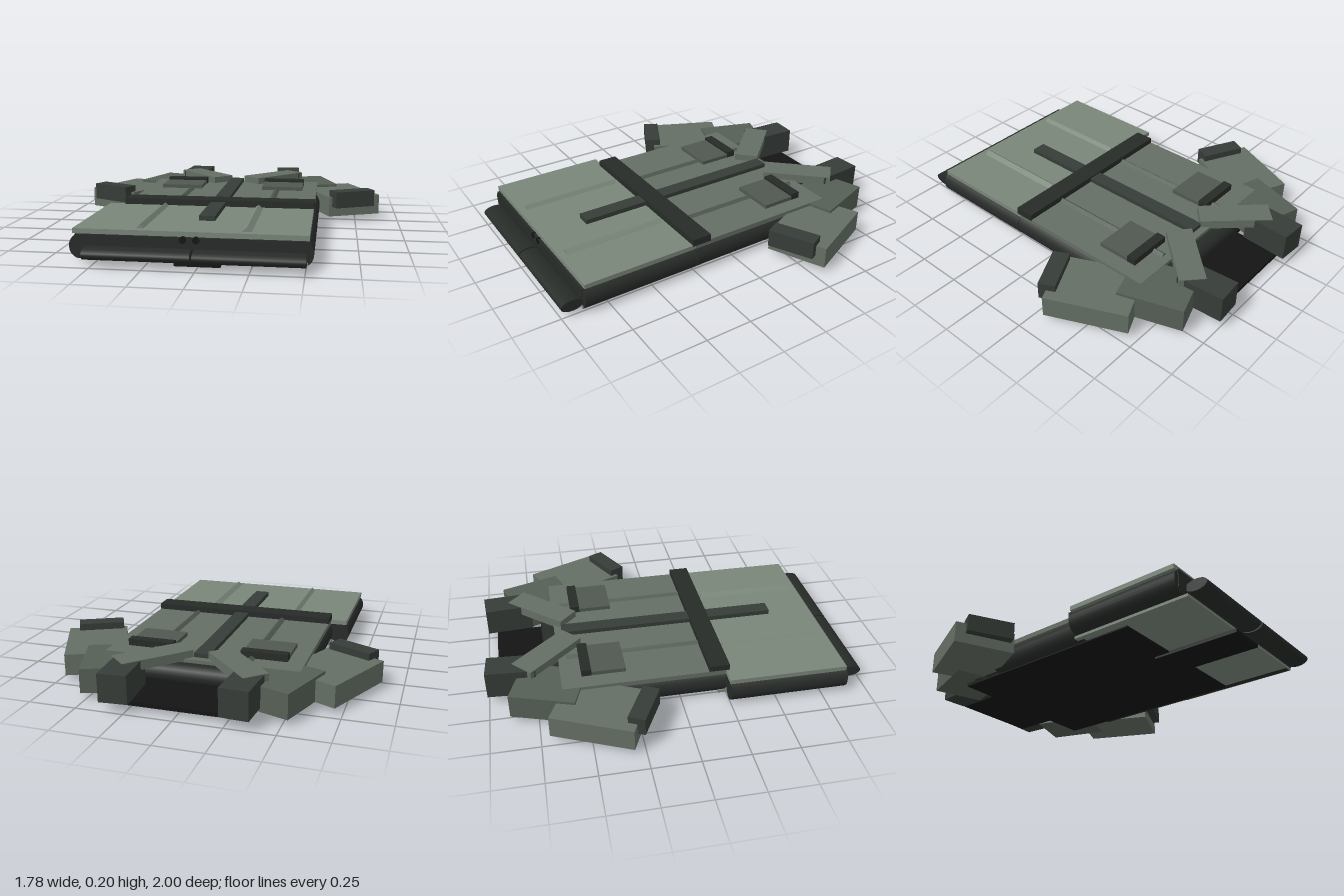
import * as THREE from 'three';

const mat = (color) => new THREE.MeshStandardMaterial({ color, roughness: 0.9 });
const M = {
  skirt: mat(0x7a867a), torso: mat(0x646e64), shoulder: mat(0x565f56), pocket: mat(0x505850),
  trim: mat(0x363c38), dark: mat(0x272b28), black: mat(0x131413),
};

export function createModel() {
  const group = new THREE.Group();
  const add = (name, geometry, material) => {
    const mesh = new THREE.Mesh(geometry, material);
    mesh.name = name;
    group.add(mesh);
    return mesh;
  };
  // Box given by its extents
  const box = (name, m, x0, x1, y0, y1, z0, z1) => {
    const b = add(name, new THREE.BoxGeometry(x1 - x0, y1 - y0, z1 - z0), m);
    b.position.set((x0 + x1) / 2, (y0 + y1) / 2, (z0 + z1) / 2);
    return b;
  };
  // Box given by centre, height range, footprint and turn about y
  const turned = (name, m, x, z, w, d, y0, y1, angle) => {
    const b = box(name, m, x - w / 2, x + w / 2, y0, y1, z - d / 2, z + d / 2);
    b.rotation.y = angle;
    return b;
  };
  // Rolled fabric edge with an elliptical section, along x or z
  const roll = (name, m, axis, from, to, across, y, ra, ry) => {
    const g = new THREE.CylinderGeometry(1, 1, to - from, 20);
    g.rotateX(Math.PI / 2);
    g.scale(ra, ry, 1);
    if (axis === 'x') g.rotateY(Math.PI / 2);
    const mid = (from + to) / 2;
    const r = add(name, g, m);
    r.position.set(axis === 'x' ? mid : across, y, axis === 'x' ? across : mid);
  };
  // Triangular crease ridge running along z
  const crease = (name, m, x0, x1, z0, z1, y, h) => {
    const s = new THREE.Shape();
    s.moveTo(x0, 0);
    s.lineTo(x1, 0);
    s.lineTo((x0 + x1) / 2, h);
    const r = add(name, new THREE.ExtrudeGeometry(s, { depth: z1 - z0, bevelEnabled: false }), m);
    r.position.set(0, y, z0);
  };

  // Torso: front panel, inner layers, back panel and neck lining
  box('torsoFront', M.torso, -0.525, 0.515, 0.135, 0.162, -0.62, 0.25);
  box('torsoInner', M.dark, -0.49, 0.49, 0.03, 0.135, -0.6, 0.24);
  box('backPanel', M.black, -0.48, 0.47, 0.012, 0.03, -0.67, 0.5);
  box('neckLining', M.black, -0.26, 0.25, 0.025, 0.045, -0.945, -0.6);
  roll('neckEdge', M.dark, 'x', -0.3, 0.3, -0.63, 0.09, 0.06, 0.055);
  for (const s of [-1, 1]) roll('torsoSideFold', M.dark, 'z', -0.4, 0.24, s * 0.485, 0.078, 0.052, 0.062);

  // Lower part: front panel, inner layers, folded edges and back
  box('lowerFront', M.skirt, -0.615, 0.515, 0.135, 0.16, 0.24, 0.875);
  box('lowerInner', M.dark, -0.57, 0.48, 0.035, 0.135, 0.25, 0.87);
  box('lowerBack', M.skirt, -0.53, 0.51, 0.02, 0.035, 0.2, 0.89);
  box('backPleat', M.black, -0.115, 0.105, 0, 0.02, 0.41, 0.905);
  roll('lowerSideFold', M.dark, 'z', 0.245, 0.885, -0.578, 0.075, 0.052, 0.06);
  roll('lowerSideFold', M.dark, 'z', 0.245, 0.885, 0.485, 0.075, 0.052, 0.06);
  box('hemFold', M.dark, -0.6, 0.51, 0.04, 0.135, 0.85, 0.888);
  for (const x of [-0.075, -0.012]) roll('plackeFold', M.black, 'z', 0.3, 0.892, x, 0.122, 0.017, 0.017);
  roll('hemRoll', M.dark, 'x', -0.535, -0.024, 0.94, 0.06, 0.06, 0.031);
  roll('hemRoll', M.dark, 'x', -0.014, 0.505, 0.94, 0.06, 0.06, 0.031);

  // Creases pressed into both panels
  crease('torsoCrease', M.pocket, -0.268, -0.23, -0.575, 0.15, 0.162, 0.014);
  crease('torsoCrease', M.pocket, 0.255, 0.292, -0.575, 0.15, 0.162, 0.014);
  crease('lowerCrease', M.skirt, -0.31, -0.275, 0.28, 0.835, 0.16, 0.02);
  crease('lowerCrease', M.skirt, 0.195, 0.245, 0.28, 0.835, 0.16, 0.02);

  // Button placket and belt
  box('placket', M.trim, -0.045, 0.037, 0.155, 0.185, -0.58, 0.625);
  box('belt', M.dark, -0.525, 0.518, 0.155, 0.194, 0.15, 0.258);

  // Chest pockets
  for (const x of [-0.312, 0.307]) {
    box('pocket', M.pocket, x - 0.123, x + 0.123, 0.16, 0.183, -0.5, -0.278);
    box('pocketFlap', M.dark, x - 0.124, x + 0.124, 0.16, 0.198, -0.512, -0.46);
  }

  // Mirrored collar, shoulders and sleeves
  for (const s of [-1, 1]) {
    turned('collar', M.torso, s * 0.223, -0.675, 0.138, 0.39, 0.15, 0.2, -s * 0.75);
    turned('collarStand', M.trim, s * 0.308, -0.87, 0.148, 0.26, 0.05, 0.197, s * 0.07);
    turned('shoulder', M.shoulder, s * 0.45, -0.685, 0.28, 0.346, 0.03, 0.16, s * 0.327);
    turned('sleeve', M.torso, s * 0.653, -0.44, 0.325, 0.436, 0.03, 0.145, s * 0.426);
    turned('cuff', M.trim, s * 0.727, -0.233, 0.25, 0.09, 0.087, 0.182, s * 0.47);
  }

  return group;
}
